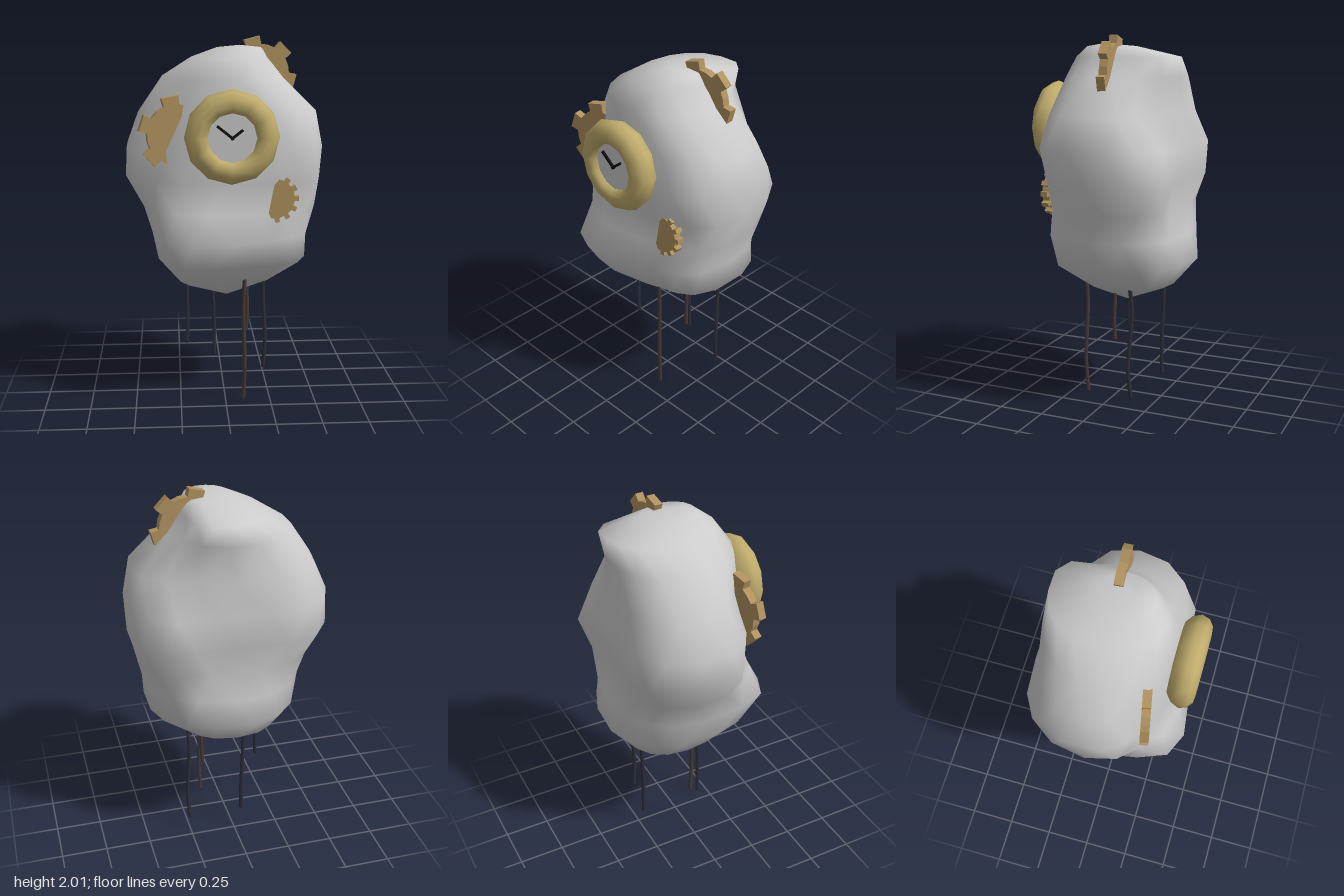
import * as THREE from 'three';

const mat = (color, extra = {}) => new THREE.MeshStandardMaterial({ color, ...extra });

function add(parent, name, geometry, material, x = 0, y = 0, z = 0) {
  const mesh = new THREE.Mesh(geometry, material);
  mesh.name = name;
  mesh.position.set(x, y, z);
  parent.add(mesh);
  return mesh;
}

// Lumpy boulder: squarish rings given by their extents, then shifted by local bulges and dents
function bodyGeometry() {
  const rings = [ // y, min x, max x, min z, max z
    [0.66, -0.26, 0.26, -0.31, 0.20],
    [0.80, -0.37, 0.45, -0.41, 0.35],
    [0.95, -0.40, 0.46, -0.40, 0.41],
    [1.10, -0.45, 0.50, -0.38, 0.36],
    [1.25, -0.54, 0.535, -0.39, 0.33],
    [1.42, -0.54, 0.535, -0.40, 0.335],
    [1.60, -0.47, 0.51, -0.375, 0.30],
    [1.79, -0.34, 0.32, -0.365, 0.29],
    [1.89, -0.18, 0.24, -0.35, 0.23],
    [1.945, -0.04, 0.20, -0.12, 0.15],
  ];
  const bumps = [ // x, y, z, shift in x, shift in z, reach
    [0.41, 1.25, -0.32, 0.00, -0.10, 0.17],
    [-0.37, 1.30, -0.33, 0.00, -0.06, 0.20],
    [-0.02, 0.84, -0.41, 0.00, -0.03, 0.18],
    [0.32, 1.65, -0.31, -0.04, 0.07, 0.18],
    [0.16, 1.89, -0.30, 0.04, -0.04, 0.12],
    [-0.28, 0.95, 0.36, -0.03, 0.06, 0.18],
    [-0.35, 1.23, 0.28, 0.04, -0.05, 0.16],
    [0.36, 1.12, 0.30, -0.01, -0.02, 0.18],
    [0.40, 1.42, 0.26, 0.02, 0.04, 0.17],
    [-0.39, 1.58, 0.22, 0.03, -0.06, 0.18],
    [0.12, 0.72, 0.25, -0.02, -0.07, 0.17],
    [0.28, 0.95, 0.38, 0.00, -0.06, 0.20],
    [0.14, 1.10, -0.40, 0.00, 0.03, 0.15],
  ];
  const n = 16, pos = [], index = [];
  rings.forEach(([y, x0, x1, z0, z1], i) => {
    const power = i > 6 ? 0.95 : 0.8;
    const soft = (v) => Math.sign(v) * Math.abs(v) ** power;
    for (let j = 0; j < n; j++) {
      const a = ((j + (i % 2) / 2) / n) * Math.PI * 2;
      const x = (x0 + x1) / 2 + soft(Math.cos(a)) * (x1 - x0) / 2;
      const z = (z0 + z1) / 2 + soft(Math.sin(a)) * (z1 - z0) / 2;
      let dx = 0, dz = 0;
      for (const [bx, by, bz, sx, sz, reach] of bumps) {
        const w = Math.exp(-((x - bx) ** 2 + (y - by) ** 2 + (z - bz) ** 2) / reach ** 2);
        dx += sx * w;
        dz += sz * w;
      }
      pos.push(x + dx, y, z + dz);
    }
  });
  for (let i = 0; i < rings.length - 1; i++) {
    for (let j = 0; j < n; j++) {
      const k = (j + 1) % n;
      const p = i * n + j, q = i * n + k, u = p + n, v = q + n;
      if (i % 2) index.push(p, v, q, p, u, v);
      else index.push(p, u, q, q, u, v);
    }
  }
  // Closing points at the bottom and the top
  const low = rings.length * n, high = low + 1, last = low - n;
  pos.push(0.02, 0.55, -0.05, 0.08, 1.96, 0.06);
  for (let j = 0; j < n; j++) {
    const k = (j + 1) % n;
    index.push(low, j, k, high, last + k, last + j);
  }
  const g = new THREE.BufferGeometry();
  g.setAttribute('position', new THREE.Float32BufferAttribute(pos, 3));
  g.setIndex(index);
  g.computeVertexNormals();
  return g;
}

// Flat cog, centred on its own thickness; the first tooth points at angle start
function gearGeometry(radius, root, teeth, thickness, start) {
  const shape = new THREE.Shape();
  const step = (Math.PI * 2) / teeth;
  for (let i = 0; i < teeth; i++) {
    [[-0.25, root], [-0.21, radius], [0.21, radius], [0.25, root], [0.5, root]].forEach(([f, r], c) => {
      const a = start + (i + f) * step;
      const x = Math.cos(a) * r, y = Math.sin(a) * r;
      if (i + c === 0) shape.moveTo(x, y);
      else shape.lineTo(x, y);
    });
  }
  shape.closePath();
  return new THREE.ExtrudeGeometry(shape, { depth: thickness, bevelEnabled: false })
    .translate(0, 0, -thickness / 2);
}

export function createModel() {
  const model = new THREE.Group();
  model.name = 'floatingClockRock';
  const brass = mat(0xc0ac6c, { side: THREE.DoubleSide });
  const bronze = mat(0xb0925f, { flatShading: true });
  const black = mat(0x101010);

  add(model, 'body', bodyGeometry(), mat(0xcccccc));

  // Clock: rounded rim, dial and two hands
  const clock = new THREE.Group();
  clock.name = 'clock';
  clock.position.set(0.02, 1.51, 0.365);
  model.add(clock);
  const rim = [[0.19, -0.073], [0.225, -0.045], [0.245, 0], [0.232, 0.042], [0.2, 0.066], [0.165, 0.07],
    [0.135, 0.058], [0.125, 0.03]].map(([r, h]) => new THREE.Vector2(r, h));
  add(clock, 'clockRim', new THREE.LatheGeometry(rim, 12).rotateX(Math.PI / 2), brass);
  add(clock, 'clockDial', new THREE.CylinderGeometry(0.128, 0.128, 0.08, 12).rotateX(Math.PI / 2),
    mat(0xcccccc), 0, 0, -0.007);
  for (const [name, x, y] of [['longHand', -0.078, 0.062], ['shortHand', 0.054, 0.042]]) {
    const length = Math.hypot(x, y);
    const hand = add(clock, name, new THREE.BoxGeometry(length, 0.013, 0.012), black, x / 2, y / 2, 0.038);
    hand.rotation.z = Math.atan2(y, x);
  }
  add(clock, 'handPivot', new THREE.CylinderGeometry(0.01, 0.01, 0.016, 8).rotateX(Math.PI / 2), black, 0, 0, 0.038);

  // Cogs half sunk into the body
  const gears = [ // name, radius, root, teeth, thickness, first tooth angle, position, turn
    ['topGear', 0.198, 0.155, 6, 0.045, 1.83, [0.2, 1.806, -0.043], 0.08],
    ['sideGear', 0.205, 0.16, 6, 0.045, 1.76, [-0.26, 1.507, 0.215], 0.2],
    ['smallGear', 0.128, 0.105, 13, 0.04, 0, [0.25, 1.175, 0.28], 0],
  ];
  for (const [name, radius, root, teeth, thickness, start, p, turn] of gears) {
    add(model, name, gearGeometry(radius, root, teeth, thickness, start), bronze, ...p).rotation.y = turn;
  }

  // Dangling wires, slightly crooked
  const wires = [ // top x, top z, top y, foot x, foot z, foot y, sway, colour
    [0.105, 0.17, 0.72, 0.10, 0.158, 0.005, 0.008, 0x463a3a],
    [-0.205, 0.035, 0.74, -0.21, 0.035, 0.30, 0.002, 0x2c2e3c],
    [-0.052, -0.238, 0.76, -0.045, -0.236, 0.12, 0.003, 0x2c2e3c],
    [0.138, -0.022, 0.72, 0.13, -0.024, 0.345, 0.004, 0x463a3a],
    [0.25, -0.158, 0.71, 0.243, -0.165, 0.06, 0.011, 0x2e303a],
  ];
  wires.forEach(([x0, z0, y0, x1, z1, y1, sway, color], i) => {
    const points = [0, 0.25, 0.5, 0.75, 1].map((t) => {
      const s = Math.sin(t * Math.PI * 2) * sway;
      return new THREE.Vector3(x0 + (x1 - x0) * t - s * 0.7, y0 + (y1 - y0) * t, z0 + (z1 - z0) * t - s);
    });
    const wire = new THREE.Group();
    wire.name = 'wire' + (i + 1);
    model.add(wire);
    const material = mat(color);
    add(wire, 'strand', new THREE.TubeGeometry(new THREE.CatmullRomCurve3(points), 12, 0.011, 6), material);
    for (const end of [points[0], points[4]]) {
      add(wire, 'strandEnd', new THREE.SphereGeometry(0.011, 6, 4), material, end.x, end.y, end.z);
    }
  });
  return model;
}
